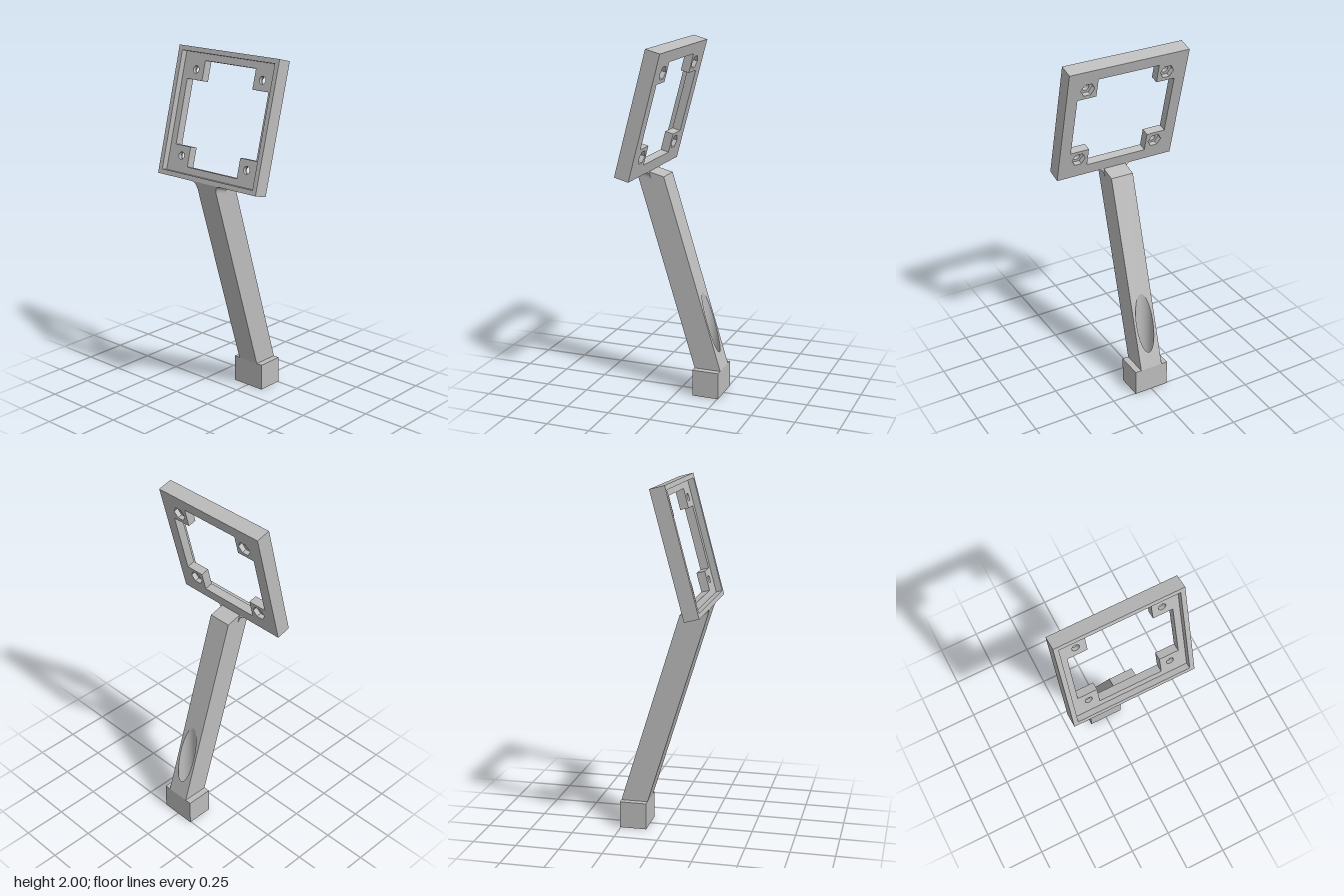
import * as THREE from 'three';

const grey = new THREE.MeshStandardMaterial({ color: 0xbcbcbc, side: THREE.DoubleSide });
grey.name = 'grey plastic';

const TILT = THREE.MathUtils.degToRad(15);
const SIZE = 0.72, HALF = SIZE / 2;

function add(parent, name, geometry) {
  const mesh = new THREE.Mesh(geometry, grey);
  mesh.name = name;
  parent.add(mesh);
  return mesh;
}

const polygon = (pts, Type = THREE.Shape) => new Type(pts.map(([x, y]) => new THREE.Vector2(x, y)));
const square = (r, Type) => polygon([[-r, -r], [r, -r], [r, r], [-r, r]], Type);

// Round (or few-sided) hole
function ring(x, y, r, sides) {
  const pts = [];
  for (let i = 0; i < sides; i++) {
    const a = (i / sides) * Math.PI * 2;
    pts.push([x + r * Math.cos(a), y + r * Math.sin(a)]);
  }
  return polygon(pts, THREE.Path);
}

const extrude = (shape, depth) =>
  new THREE.ExtrudeGeometry(shape, { depth, bevelEnabled: false, curveSegments: 12 });

// Square frame layer with cross-shaped window and a hole in each corner tab
function plateLayer(radius, sides, depth) {
  const shape = square(HALF), a = 0.295, b = 0.183;
  shape.holes.push(polygon([
    [-b, -a], [b, -a], [b, -b], [a, -b], [a, b], [b, b],
    [b, a], [-b, a], [-b, b], [-a, b], [-a, -b], [-b, -b],
  ], THREE.Path));
  for (const x of [-0.24, 0.24])
    for (const y of [-0.24, 0.24]) shape.holes.push(ring(x, y, radius, sides));
  return extrude(shape, depth);
}

function makeFrame() {
  const frame = new THREE.Group();
  frame.name = 'frame';
  frame.position.set(0, 1.305, 0.256);
  frame.rotation.x = -TILT;

  add(frame, 'nutPocketPlate', plateLayer(0.041, 6, 0.027)).position.set(0, HALF, -0.085);
  add(frame, 'screwHolePlate', plateLayer(0.021, 24, 0.022)).position.set(0, HALF, -0.058);

  // Raised rim around the front recess
  const rim = square(HALF);
  rim.holes.push(square(0.333, THREE.Path));
  add(frame, 'rim', extrude(rim, 0.036)).position.set(0, HALF, -0.036);

  // Flared neck, sheared to follow the slope of the arm
  const flare = new THREE.Shape();
  flare.moveTo(-0.105, 0);
  flare.quadraticCurveTo(-0.07, 0, -0.07, -0.035);
  flare.lineTo(0.07, -0.035);
  flare.quadraticCurveTo(0.07, 0, 0.105, 0);
  const geo = extrude(flare, 0.085);
  geo.translate(0, 0, -0.085);
  const p = geo.attributes.position;
  for (let i = 0; i < p.count; i++) p.setZ(i, p.getZ(i) + p.getY(i) * 0.63);
  geo.computeVertexNormals();
  add(frame, 'neckFlare', geo);
  return frame;
}

function makeArm() {
  const arm = new THREE.Group();
  arm.name = 'arm';
  const W = 0.068, BASE = 0.155, BORE = 0.053, BORE_Z = -0.174;
  const front = [[-0.1, BASE], [0.256, 1.305]];
  const back = [[-0.255, BASE], [0.086, 1.26]];
  const slope = (back[1][1] - BASE) / (back[1][0] - back[0][0]);
  const backY = (z) => BASE + (z - back[0][0]) * slope;

  // Quads from corners, counter-clockwise seen from outside
  function quad(name, ...c) {
    const geo = new THREE.BufferGeometry();
    geo.setAttribute('position', new THREE.Float32BufferAttribute(c.flat(), 3));
    geo.setIndex([0, 1, 2, 0, 2, 3]);
    geo.computeVertexNormals();
    add(arm, name, geo);
  }
  const at = (x, [z, y]) => [x, y, z];
  quad('armFront', at(-W, front[0]), at(W, front[0]), at(W, front[1]), at(-W, front[1]));
  quad('armTop', at(-W, front[1]), at(W, front[1]), at(W, back[1]), at(-W, back[1]));
  quad('armLeftSide', at(W, front[0]), at(W, back[0]), at(W, back[1]), at(W, front[1]));
  quad('armRightSide', at(-W, back[0]), at(-W, front[0]), at(-W, front[1]), at(-W, back[1]));

  // Sloping back face, pierced by the vertical bore
  const plan = polygon([[-W, -back[0][0]], [W, -back[0][0]], [W, -back[1][0]], [-W, -back[1][0]]]);
  plan.holes.push(ring(0, -BORE_Z, BORE, 40));
  const face = new THREE.ShapeGeometry(plan);
  face.rotateX(-Math.PI / 2);
  const fp = face.attributes.position;
  for (let i = 0; i < fp.count; i++) fp.setY(i, backY(fp.getZ(i)));
  face.computeVertexNormals();
  add(arm, 'armBack', face);

  // Bore wall, its upper edge cut along the back face
  const wall = new THREE.CylinderGeometry(BORE, BORE, 1, 40, 1, true);
  wall.translate(0, 0, BORE_Z);
  const wp = wall.attributes.position;
  for (let i = 0; i < wp.count; i++) wp.setY(i, wp.getY(i) > 0 ? backY(wp.getZ(i)) : BASE);
  add(arm, 'screwBore', wall);
  return arm;
}

export function createModel() {
  const model = new THREE.Group();
  model.name = 'angledMount';

  // Foot block with a screw hole
  const foot = polygon([[-0.105, 0.1], [0.105, 0.1], [0.105, 0.255], [-0.105, 0.255]]);
  foot.holes.push(ring(0, 0.174, 0.028, 32));
  add(model, 'footBlock', extrude(foot, 0.155)).rotation.x = -Math.PI / 2;

  model.add(makeArm(), makeFrame());
  return model;
}
